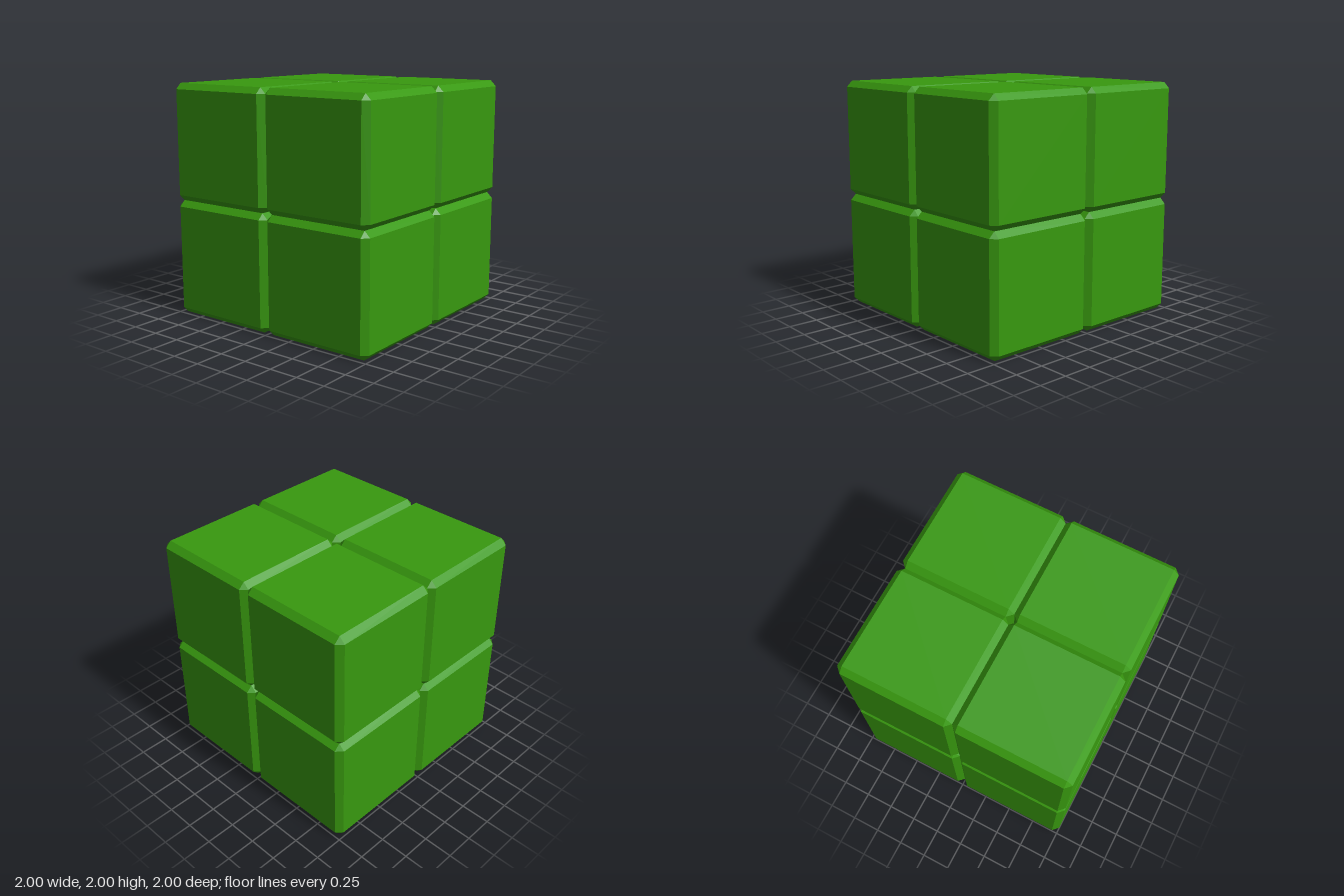
import * as THREE from 'three';
import { ConvexGeometry } from 'three/addons/geometries/ConvexGeometry.js';

const SIZE = 1;
const BEVEL = 0.05;

// Cube with every edge and corner cut flat
function chamferedCube(size, bevel) {
  const outer = size / 2;
  const inner = outer - bevel;
  const points = [];
  for (const x of [-1, 1]) for (const y of [-1, 1]) for (const z of [-1, 1]) {
    points.push(
      new THREE.Vector3(x * outer, y * inner, z * inner),
      new THREE.Vector3(x * inner, y * outer, z * inner),
      new THREE.Vector3(x * inner, y * inner, z * outer),
    );
  }
  return new ConvexGeometry(points);
}

export function createModel() {
  const model = new THREE.Group();
  model.name = 'blockCube';
  const green = new THREE.MeshStandardMaterial({ color: 0x38990f, flatShading: true });
  const geometry = chamferedCube(SIZE, BEVEL);

  // Two blocks along each axis, standing on the ground
  for (const x of [-1, 1]) for (const y of [0, 1]) for (const z of [-1, 1]) {
    const block = new THREE.Mesh(geometry, green);
    block.name = `${y ? 'upper' : 'lower'}${z > 0 ? 'Front' : 'Back'}${x > 0 ? 'Left' : 'Right'}Block`;
    block.position.set(x * SIZE / 2, (y + 0.5) * SIZE, z * SIZE / 2);
    model.add(block);
  }
  return model;
}
